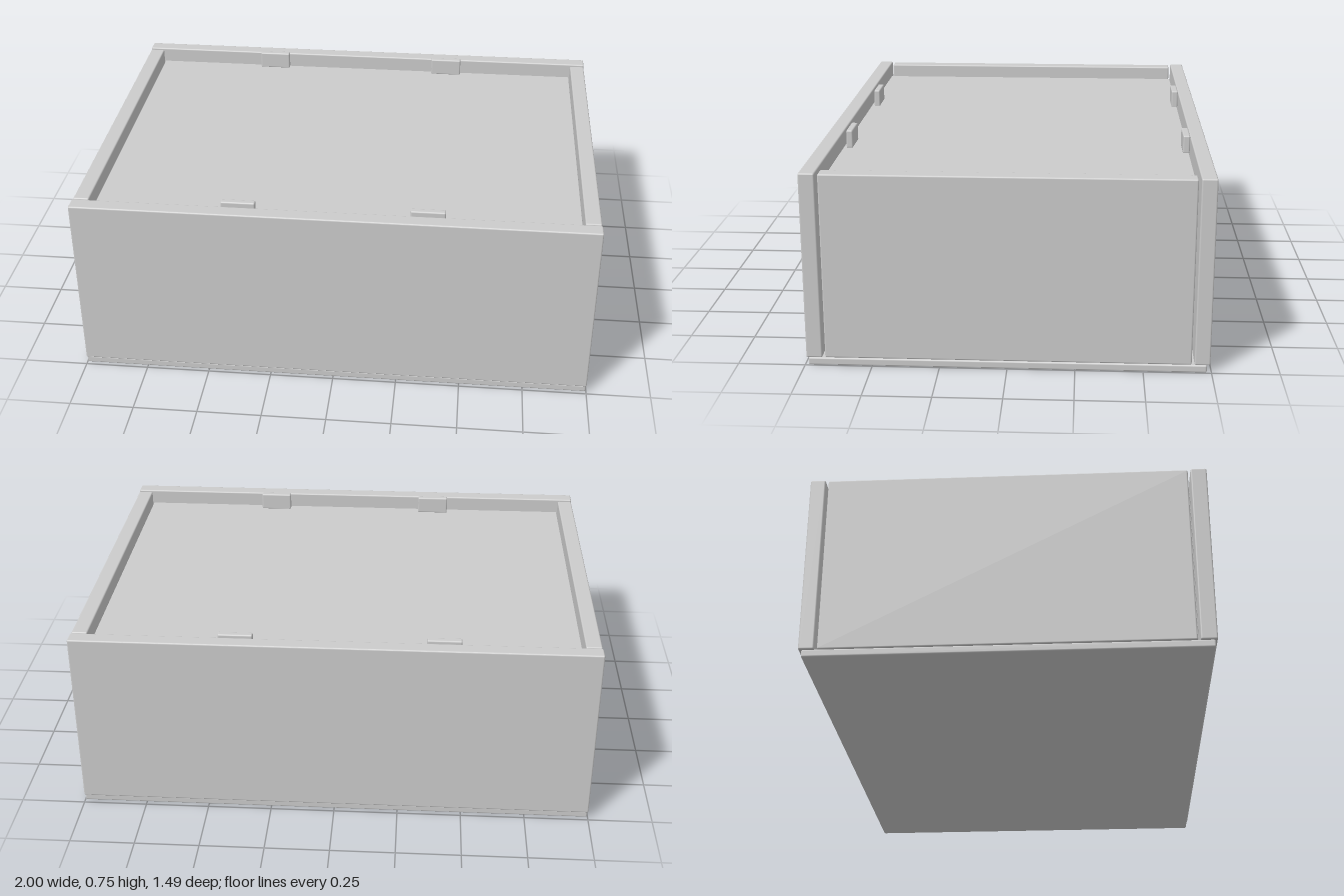
import * as THREE from 'three';
import { RoundedBoxGeometry } from 'three/addons/geometries/RoundedBoxGeometry.js';

const material = new THREE.MeshStandardMaterial({ color: 0xcccccc });

// Softly edged box given by its minimum and maximum corners
function block(name, min, max, radius = 0.006) {
  const size = max.map((v, i) => v - min[i]);
  const mesh = new THREE.Mesh(new RoundedBoxGeometry(...size, 2, radius), material);
  mesh.position.set(...max.map((v, i) => (v + min[i]) / 2));
  mesh.name = name;
  return mesh;
}

export function createModel() {
  const group = new THREE.Group();
  group.name = 'box';

  // Base plate, slightly shorter than the walls in depth
  group.add(block('basePlate', [-0.998, 0, -0.733], [0.998, 0.029, 0.737]));

  // Long walls cover the ends of the side walls
  group.add(block('frontWall', [-1, 0.03, 0.685], [1, 0.74, 0.745]));
  group.add(block('backWall', [-1, 0.03, -0.745], [1, 0.74, -0.687]));

  // Side walls stand between the long walls with a narrow gap at each end
  group.add(block('leftWall', [0.937, 0.03, -0.677], [0.998, 0.737, 0.675]));
  group.add(block('rightWall', [-0.998, 0.03, -0.677], [-0.937, 0.737, 0.675]));

  // Filled core, its top recessed below the rim
  group.add(block('core', [-0.935, 0.03, -0.682], [0.935, 0.68, 0.683], 0.002));

  // Small tabs standing along the long walls
  for (const x of [-0.365, 0.355]) {
    group.add(block('frontTab', [x - 0.066, 0.678, 0.645], [x + 0.066, 0.75, 0.671]));
  }
  for (const x of [-0.413, 0.374]) {
    group.add(block('backTab', [x - 0.066, 0.678, -0.685], [x + 0.066, 0.75, -0.658]));
  }
  return group;
}
